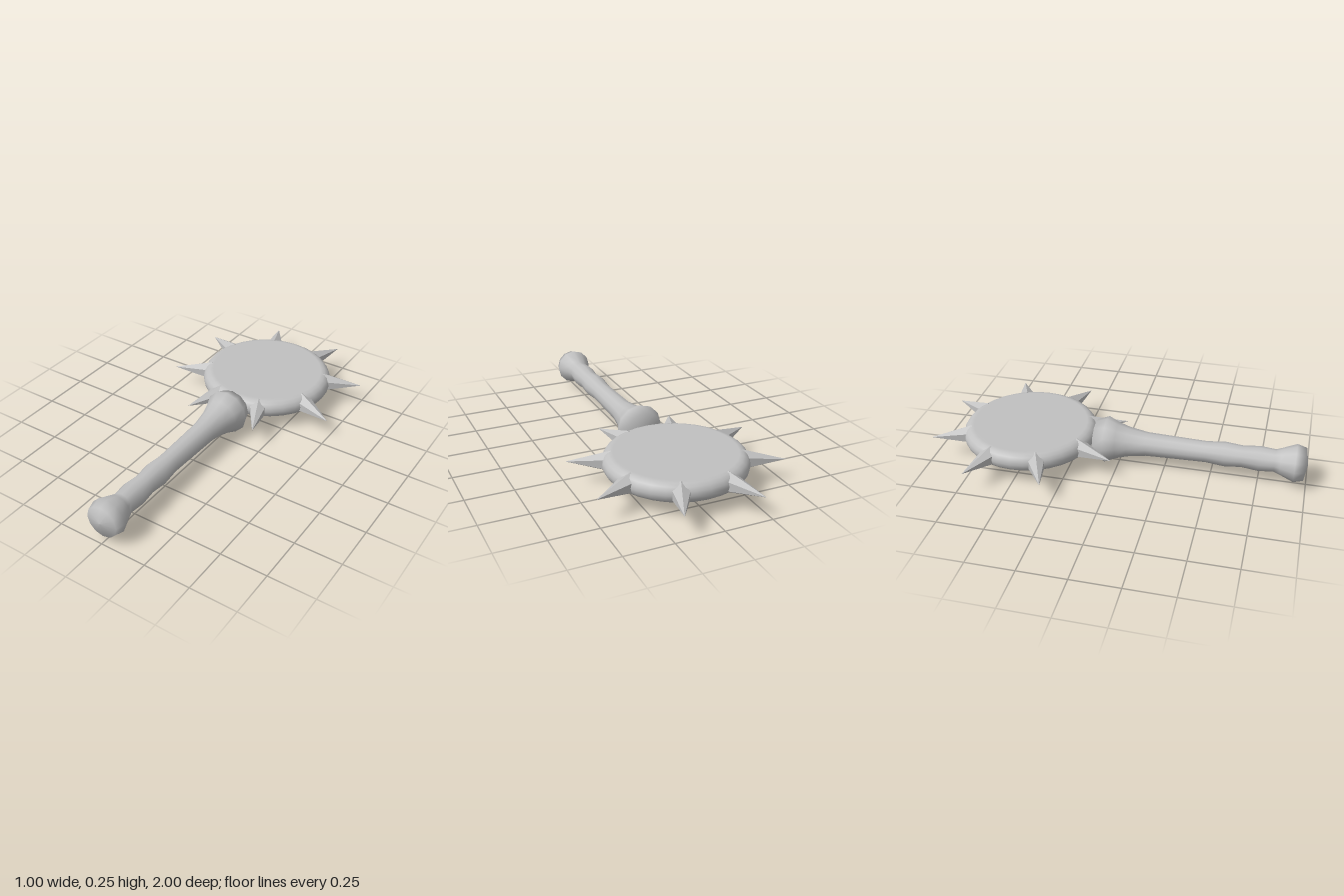
import * as THREE from 'three';

const AXIS_Y = 0.124;  // height of the mace's long axis
const HEAD_Z = -0.5;   // centre of the disc head

export function createModel() {
  const model = new THREE.Group();
  model.name = 'spikedMace';

  const grey = new THREE.MeshStandardMaterial({ color: 0xc0c0c0 });
  grey.name = 'plain grey';
  const greyFacets = grey.clone();
  greyFacets.flatShading = true;

  const add = (parent, name, geometry, material = grey) => {
    const mesh = new THREE.Mesh(geometry, material);
    mesh.name = name;
    parent.add(mesh);
    return mesh;
  };
  const lathe = (points, sides) =>
    new THREE.LatheGeometry(points.map(([r, h]) => new THREE.Vector2(r, h)), sides);

  // Handle: flared neck, wavy grip and rounded pommel, as [radius, z]
  const handle = add(model, 'handle', lathe([
    [0, -0.135], [0.102, -0.13], [0.124, -0.07], [0.098, -0.01], [0.08, 0.05],
    [0.064, 0.15], [0.06, 0.3], [0.056, 0.47], [0.065, 0.57], [0.057, 0.66],
    [0.066, 0.75], [0.059, 0.83], [0.07, 0.86], [0.1, 0.935], [0.086, 0.985], [0, 1],
  ], 12));
  handle.rotation.x = Math.PI / 2;
  handle.position.y = AXIS_Y;

  // Head: flat disc with a rounded rim and eight spikes
  const head = new THREE.Group();
  head.name = 'head';
  head.position.set(0, AXIS_Y, HEAD_Z);
  model.add(head);

  const rim = [];
  for (let i = 0; i <= 8; i++) {
    const a = -Math.PI / 2 + (i / 8) * Math.PI;
    rim.push([0.31 + 0.055 * Math.cos(a), 0.054 * Math.sin(a)]);
  }
  add(head, 'disc', lathe([[0, -0.054], ...rim, [0, 0.054]], 32));

  // Six-sided spikes pointing outward, with a corner at top and bottom
  const spikeGeometry = new THREE.ConeGeometry(0.056, 0.221, 6);
  spikeGeometry.rotateX(Math.PI / 2);
  spikeGeometry.rotateZ(Math.PI);
  spikeGeometry.translate(0, 0, 0.32 + 0.1105);
  for (let i = 0; i < 8; i++) {
    const spike = add(head, 'spike', spikeGeometry, greyFacets);
    spike.rotation.y = ((i + 0.5) / 8) * Math.PI * 2;
  }
  return model;
}
